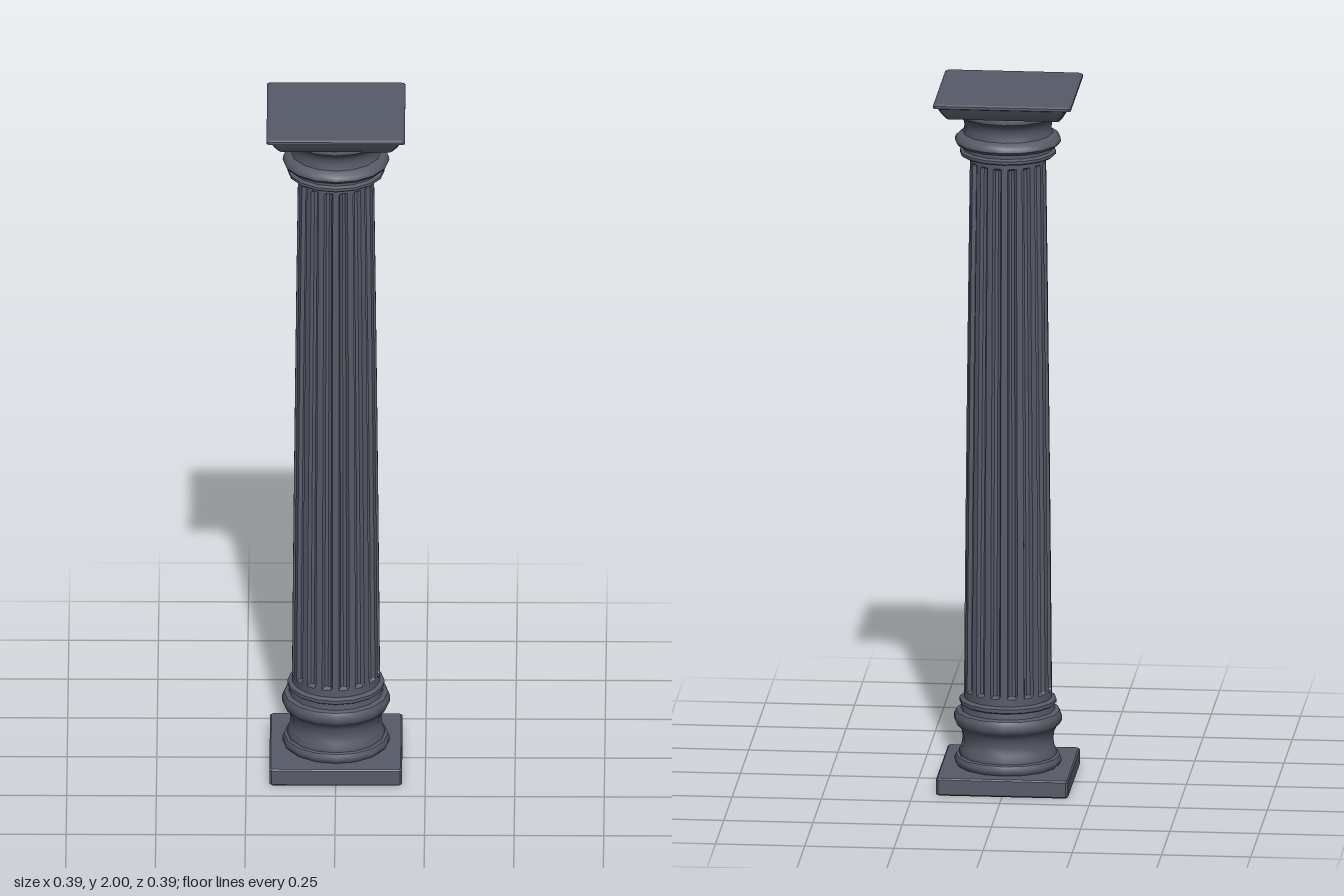
import * as THREE from 'three';
import { toCreasedNormals } from 'three/addons/utils/BufferGeometryUtils.js';

const SIDES = 16;
const material = new THREE.MeshStandardMaterial({ color: 0x565b68 });

function addMesh(group, name, geometry, crease) {
  const mesh = new THREE.Mesh(toCreasedNormals(geometry, crease), material);
  mesh.name = name;
  group.add(mesh);
}

// Loft through rings of equal length, each wound counter-clockwise seen from above, with capped ends
function loft(rings) {
  const n = rings[0].length;
  const positions = [], index = [];
  rings.forEach(ring => ring.forEach(p => positions.push(...p)));
  for (let r = 0; r < rings.length - 1; r++) {
    for (let i = 0; i < n; i++) {
      const a = r * n + i, b = r * n + (i + 1) % n;
      index.push(a, b, b + n, a, b + n, a + n);
    }
  }
  [0, rings.length - 1].forEach((r, top) => {
    const centre = positions.length / 3;
    positions.push(0, rings[r][0][1], 0);
    for (let i = 0; i < n; i++) {
      const a = r * n + i, b = r * n + (i + 1) % n;
      if (top) index.push(centre, a, b);
      else index.push(centre, b, a);
    }
  });
  const geometry = new THREE.BufferGeometry();
  geometry.setAttribute('position', new THREE.Float32BufferAttribute(positions, 3));
  geometry.setIndex(index);
  return geometry;
}

// Square slab from [half width, height] steps, with small chamfered corners
function slab(steps) {
  const c = 0.006;
  return loft(steps.map(([h, y]) => [
    [h, y, h - c], [h, y, c - h], [h - c, y, -h], [c - h, y, -h],
    [-h, y, c - h], [-h, y, h - c], [c - h, y, h], [h - c, y, h],
  ]));
}

// Round moulding from [radius, height] steps
function moulding(steps) {
  return new THREE.LatheGeometry(steps.map(([r, y]) => new THREE.Vector2(r, y)), SIDES);
}

// One shaft section; the flutes are hollows sunk between flat ridges
function shaftRing(y, depth) {
  const t = (y - 0.23) / 1.59;
  const radius = 0.123 - 0.012 * t - 0.005 * t * t;
  const profile = [[0, 0], [0.2, 0], [0.3, 0.75], [0.5, 1], [0.7, 0.75], [0.8, 0]];
  const ring = [];
  for (let i = 0; i < SIDES; i++) {
    for (const [u, d] of profile) {
      const angle = (i + u) / SIDES * Math.PI * 2;
      const r = radius - d * depth;
      ring.push([Math.sin(angle) * r, y, Math.cos(angle) * r]);
    }
  }
  return ring;
}

export function createModel() {
  const group = new THREE.Group();
  group.name = 'column';

  // Square plinth
  addMesh(group, 'plinth', slab([[0.181, 0], [0.185, 0.004], [0.185, 0.046], [0.181, 0.05]]), 0.4);

  // Base: lower torus, hollow, upper torus and fillet
  addMesh(group, 'base', moulding([
    [0, 0.048], [0.142, 0.048], [0.149, 0.056], [0.15, 0.066], [0.145, 0.077], [0.137, 0.08],
    [0.137, 0.09], [0.13, 0.105], [0.127, 0.125], [0.13, 0.147], [0.138, 0.162], [0.145, 0.167],
    [0.151, 0.178], [0.151, 0.193], [0.145, 0.205], [0.132, 0.209], [0.13, 0.225],
    [0.136, 0.229], [0.136, 0.239], [0.125, 0.245], [0, 0.245],
  ]), 0.75);

  // Tapering fluted shaft with plain bands at both ends
  const heights = [0.272, 0.5, 0.8, 1.1, 1.4, 1.6, 1.788];
  addMesh(group, 'shaft', loft([
    shaftRing(0.23, 0), shaftRing(0.265, 0),
    ...heights.map(y => shaftRing(y, 0.014)),
    shaftRing(1.795, 0), shaftRing(1.82, 0),
  ]), 0.5);

  // Capital: neck ring, bead, hollow and flaring top
  addMesh(group, 'capital', moulding([
    [0, 1.812], [0.13, 1.812], [0.135, 1.816], [0.135, 1.824], [0.126, 1.829], [0.126, 1.839],
    [0.142, 1.843], [0.149, 1.852], [0.147, 1.863], [0.138, 1.871], [0.126, 1.876],
    [0.122, 1.893], [0.124, 1.908], [0.131, 1.921], [0.138, 1.927], [0.146, 1.932],
    [0.148, 1.941], [0.143, 1.952], [0, 1.952],
  ]), 0.75);

  // Square abacus, widening upwards
  addMesh(group, 'abacus', slab([
    [0.15, 1.948], [0.158, 1.95], [0.17, 1.966], [0.181, 1.985], [0.193, 1.989], [0.193, 1.996], [0.187, 2],
  ]), 0.4);

  return group;
}
